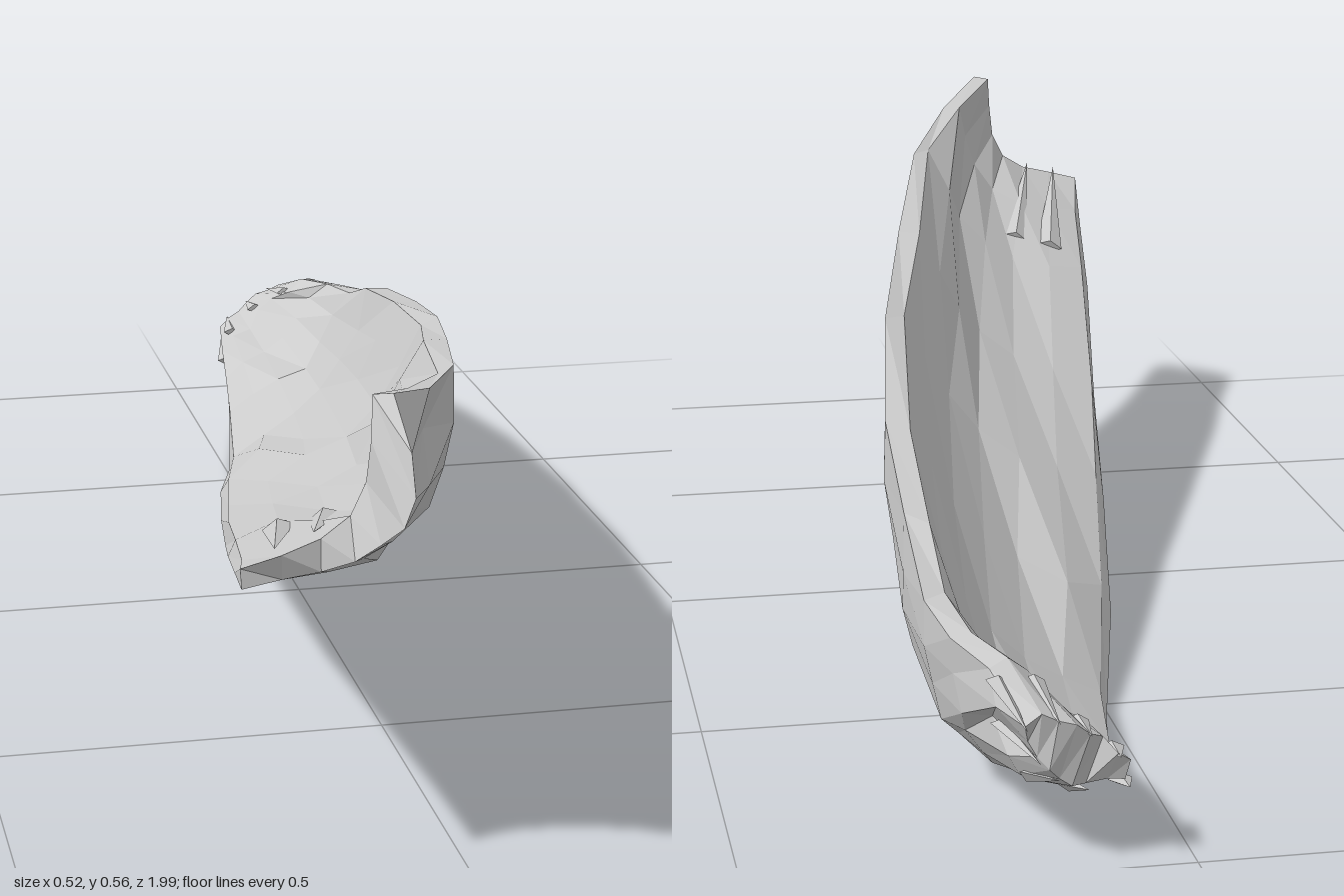
import * as THREE from 'three';

const SEG = 8;        // facets across each side of the shell
const RING = SEG * 2; // outer side, then inner side back again
const RIM = 0.022;    // bluntness of the two long edges

// Cross-sections: z, lower edge x y, upper edge x y, outer depth, inner depth
const SECTIONS = [
  [0.94, -0.262, 0.37, -0.088, 0.57, 0.085, 0.05],
  [0.80, -0.243, 0.338, -0.02, 0.54, 0.107, 0.046],
  [0.60, -0.213, 0.285, 0.06, 0.505, 0.128, 0.042],
  [0.30, -0.16, 0.19, 0.13, 0.45, 0.148, 0.038],
  [0.00, -0.11, 0.12, 0.195, 0.395, 0.155, 0.035],
  [-0.30, -0.055, 0.06, 0.24, 0.335, 0.142, 0.032],
  [-0.55, 0.005, 0.01, 0.255, 0.29, 0.118, 0.026],
  [-0.73, 0.04, 0.022, 0.26, 0.24, 0.095, 0.015],
  [-0.82, 0.055, 0.05, 0.245, 0.225, 0.08, -0.01],
  [-0.90, 0.068, 0.075, 0.215, 0.215, 0.062, -0.025],
  [-0.97, 0.075, 0.1, 0.19, 0.175, 0.035, -0.03],
];

function seeded(seed) {
  return () => {
    seed = (seed * 16807) % 2147483647;
    return seed / 2147483647;
  };
}

// One ring: lower edge -> outer side -> upper edge -> inner side
function sectionRing([z, ax, ay, bx, by, outer, inner], k, rand) {
  const len = Math.hypot(bx - ax, by - ay);
  const nx = (by - ay) / len, ny = -(bx - ax) / len;
  const front = k === 0, back = k === SECTIONS.length - 1;
  const ring = [];
  for (let j = 0; j < RING; j++) {
    const isOuter = j <= SEG;
    const edge = j === 0 || j === SEG;
    const t = isOuter ? j / SEG : 0.94 - 0.88 * (j - SEG - 1) / (SEG - 2);
    const arc = Math.max(0, Math.sin(Math.PI * t));
    let d = isOuter ? outer * arc : (inner + RIM) * Math.pow(arc, 1.4) - RIM;
    let pz = z;
    if (!edge) d += (rand() - 0.5) * (isOuter ? 0.008 : 0.004);
    if (!edge && !front && !back) pz += (rand() - 0.5) * 0.06;
    // The front end is notched low and juts out near its upper half
    if (front) pz += 0.01 - 0.04 * t + (isOuter ? 0.25 * arc * (t - 0.35) : -0.01) + (rand() - 0.5) * 0.02;
    if (back) pz += (rand() - 0.5) * 0.03;
    ring.push(new THREE.Vector3(ax + (bx - ax) * t + nx * d, ay + (by - ay) * t + ny * d, pz));
  }
  return ring;
}

function shellGeometry(rings) {
  const index = [];
  const id = (k, j) => k * RING + (j % RING);
  for (let k = 0; k < rings.length - 1; k++) {
    for (let j = 0; j < RING; j++) {
      const a = id(k, j), b = id(k, j + 1), c = id(k + 1, j + 1), d = id(k + 1, j);
      index.push(d, c, a, c, b, a);
    }
  }
  // End caps join the outer side to the inner side
  const last = rings.length - 1;
  for (let j = 0; j < SEG; j++) {
    for (const k of [0, last]) {
      const a = id(k, j), b = id(k, j + 1), c = id(k, RING - j - 1), d = id(k, RING - j);
      const tris = [];
      if (j < SEG - 1) tris.push([a, b, c]);
      if (j > 0) tris.push([a, c, d]);
      for (const [p, q, r] of tris) index.push(...(k === 0 ? [p, q, r] : [p, r, q]));
    }
  }
  const geometry = new THREE.BufferGeometry().setFromPoints(rings.flat());
  geometry.setIndex(index);
  geometry.computeVertexNormals();
  return geometry;
}

// Small torn flap: a flattened cone from a base point to a tip
function tornTip(base, tip, width, material) {
  const dir = tip.clone().sub(base);
  const geometry = new THREE.ConeGeometry(width, dir.length(), 4);
  geometry.scale(1, 1, 0.5);
  const mesh = new THREE.Mesh(geometry, material);
  mesh.position.copy(base).add(tip).multiplyScalar(0.5);
  mesh.quaternion.setFromUnitVectors(new THREE.Vector3(0, 1, 0), dir.normalize());
  return mesh;
}

export function createModel() {
  const rand = seeded(4711);
  const material = new THREE.MeshStandardMaterial({ color: 0xcccccc, flatShading: true });
  const model = new THREE.Group();

  // Long curved trough-shaped shell
  const rings = SECTIONS.map((s, k) => sectionRing(s, k, rand));
  const shell = new THREE.Mesh(shellGeometry(rings), material);
  shell.name = 'curvedShell';
  model.add(shell);

  // Ragged folds inside the open front end
  const frontTear = new THREE.Group();
  frontTear.name = 'frontTornEdge';
  for (const j of [13, 14]) {
    const base = rings[0][j].clone().lerp(rings[2][j], 0.8);
    const tip = rings[0][j].clone().add(new THREE.Vector3(-0.008, 0.008, 0));
    frontTear.add(tornTip(base, tip, 0.02, material));
  }
  model.add(frontTear);

  // Ragged stub closing the back end
  const backTear = new THREE.Group();
  backTear.name = 'backTornStub';
  const n = SECTIONS.length - 1;
  for (let j = 0; j < RING; j += 2) {
    const base = rings[n - 1][j].clone().lerp(rings[n][j], 0.2);
    const tip = rings[n][j].clone();
    tip.z = -0.98 - rand() * 0.02;
    backTear.add(tornTip(base, tip, 0.014, material));
  }
  model.add(backTear);

  return model;
}
